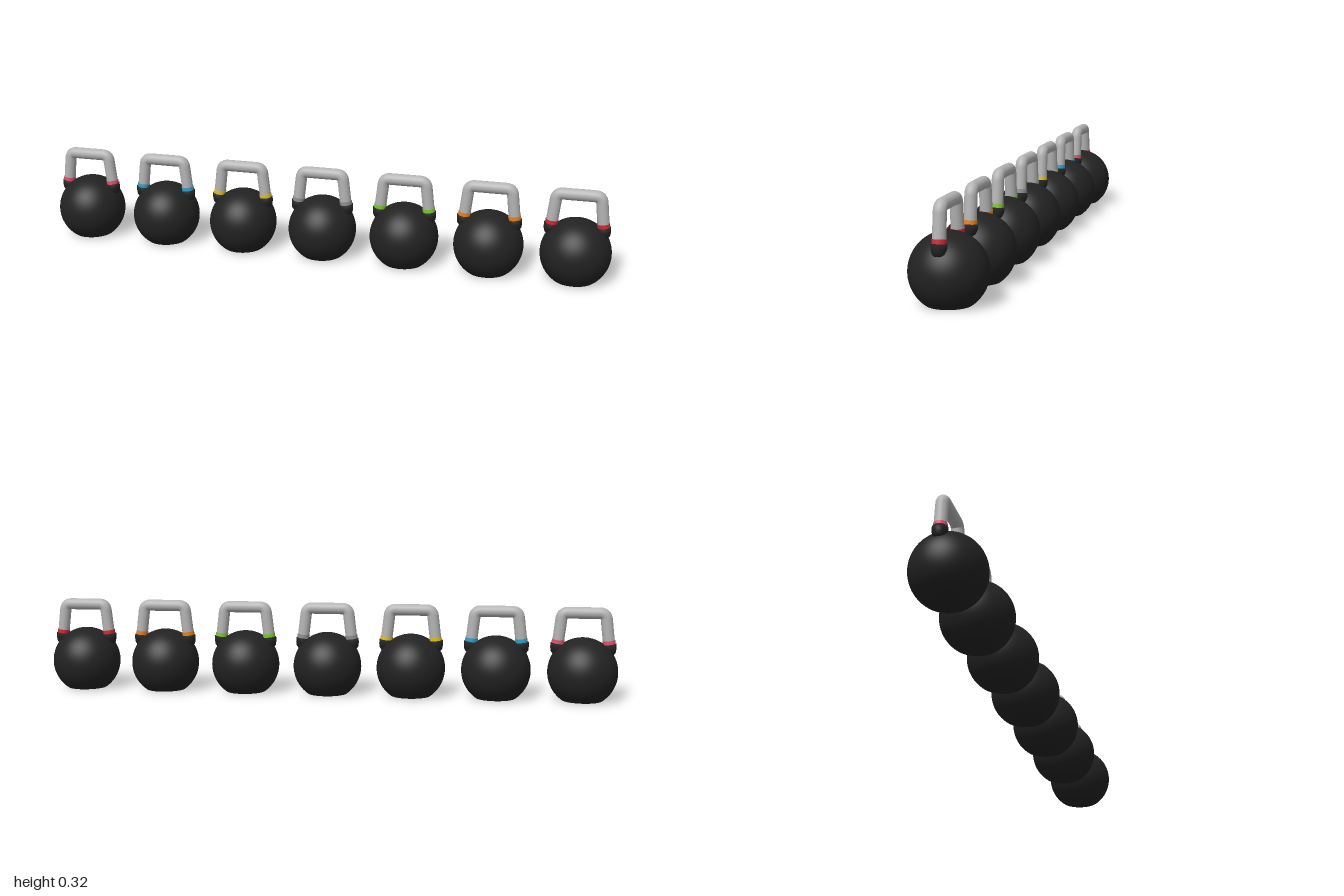
import * as THREE from 'three';

const R = 0.119, CY = 0.097; // ball radius and centre height

function mat(name, color) {
  const m = new THREE.MeshStandardMaterial({ color });
  m.name = name;
  return m;
}

function mesh(name, geometry, material) {
  const m = new THREE.Mesh(geometry, material);
  m.name = name;
  return m;
}

export function createModel() {
  const group = new THREE.Group();
  group.name = 'kettlebellSet';
  const black = mat('black iron', 0x222222);
  const steel = mat('brushed steel', 0xb4b4b4);
  const ringMats = [
    mat('pink', 0xe0506e), mat('blue', 0x2f9fd0), mat('yellow', 0xe0c020),
    mat('grey', 0x8e8e8e), mat('green', 0x7cc832), mat('orange', 0xee8420), mat('red', 0xd22634),
  ];

  // ball with its underside cut flat
  const cut = Math.acos(-CY / R);
  const ballGeo = new THREE.SphereGeometry(R, 64, 40, 0, Math.PI * 2, 0, cut);
  const baseGeo = new THREE.CircleGeometry(R * Math.sin(cut), 64).rotateX(Math.PI / 2);

  // handle path: splayed legs, rounded corners, straight grip
  const v = (x, y) => new THREE.Vector3(x, y, 0);
  const path = new THREE.CurvePath();
  path.add(new THREE.LineCurve3(v(-0.0855, 0.195), v(-0.0755, 0.28)));
  path.add(new THREE.QuadraticBezierCurve3(v(-0.0755, 0.28), v(-0.073, 0.3), v(-0.053, 0.3)));
  path.add(new THREE.LineCurve3(v(-0.053, 0.3), v(0.053, 0.3)));
  path.add(new THREE.QuadraticBezierCurve3(v(0.053, 0.3), v(0.073, 0.3), v(0.0755, 0.28)));
  path.add(new THREE.LineCurve3(v(0.0755, 0.28), v(0.0855, 0.195)));
  const handleGeo = new THREE.TubeGeometry(path, 80, 0.02, 24, false);

  // collar ring and the socket that blends into the ball
  const ringGeo = new THREE.CylinderGeometry(0.0215, 0.0215, 0.013, 32);
  const socketGeo = new THREE.LatheGeometry([
    [0, -0.045], [0.014, -0.043], [0.02, -0.036], [0.0235, -0.022], [0.0245, -0.007], [0, -0.007],
  ].map(([x, y]) => new THREE.Vector2(x, y)), 32);

  ringMats.forEach((ringMat, i) => {
    const bell = new THREE.Group();
    bell.name = 'kettlebell' + (i + 1);
    bell.position.x = (i - 3) * 0.2937;

    const ball = mesh('ball', ballGeo, black);
    ball.position.y = CY;
    bell.add(ball, mesh('base', baseGeo, black), mesh('handle', handleGeo, steel));

    for (const side of [-1, 1]) {
      const foot = new THREE.Group();
      foot.name = side > 0 ? 'leftFoot' : 'rightFoot';
      foot.position.set(side * 0.085, 0.201, 0);
      foot.rotation.z = side * 0.117;
      foot.add(mesh('ring', ringGeo, ringMat), mesh('socket', socketGeo, black));
      bell.add(foot);
    }
    group.add(bell);
  });
  return group;
}
